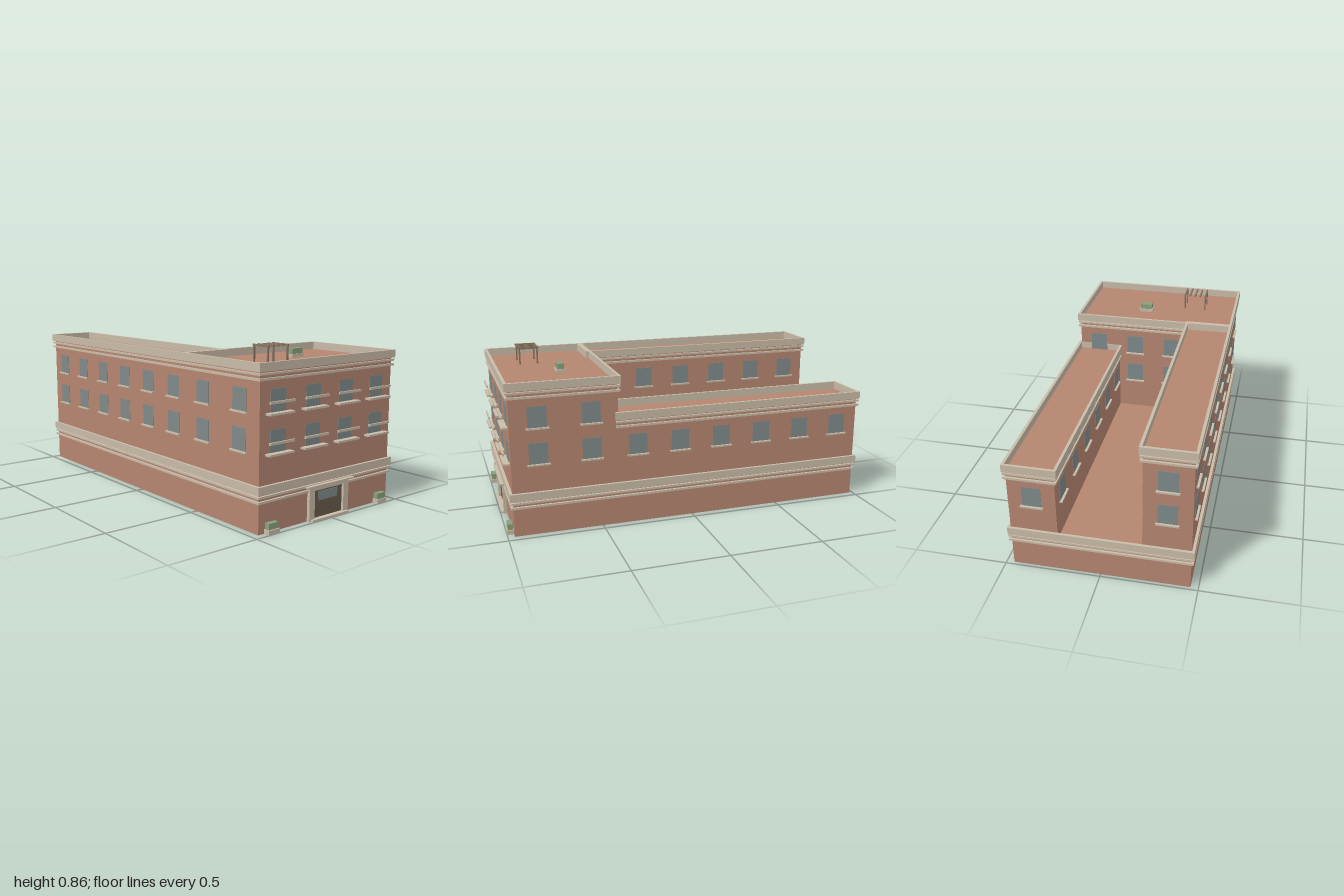
import * as THREE from 'three';

const mat = (color) => new THREE.MeshStandardMaterial({ color, roughness: 0.9, flatShading: true });

export function createModel() {
  const model = new THREE.Group();
  const brick = mat(0xb58570), trim = mat(0xc8bba8), glass = mat(0x7f8a89);
  const doorMat = mat(0x6b5a4a), green = mat(0x88a07a), timber = mat(0x8a7560);

  // box given by its min and max on each axis
  const box = (name, material, x0, x1, y0, y1, z0, z1, parent = model) => {
    const m = new THREE.Mesh(new THREE.BoxGeometry(x1 - x0, y1 - y0, z1 - z0), material);
    m.position.set((x0 + x1) / 2, (y0 + y1) / 2, (z0 + z1) / 2);
    m.name = name;
    parent.add(m);
    return m;
  };

  // frame of four bars hugging the outside of a rectangle
  const ring = (name, [x0, x1, z0, z1], y0, y1, t) => {
    const g = new THREE.Group();
    g.name = name;
    box('side', trim, x0 - t, x0, y0, y1, z0, z1, g);
    box('side', trim, x1, x1 + t, y0, y1, z0, z1, g);
    box('end', trim, x0 - t, x1 + t, y0, y1, z0 - t, z0, g);
    box('end', trim, x0 - t, x1 + t, y0, y1, z1, z1 + t, g);
    model.add(g);
  };

  // brick volume with parapet and two string courses
  const block = (name, rect, y0, roof) => {
    box(name, brick, rect[0], rect[1], y0, roof, rect[2], rect[3]);
    ring(name + 'Parapet', rect, roof, roof + 0.041, 0.015);
    ring(name + 'UpperBand', rect, roof - 0.017, roof - 0.007, 0.012);
    ring(name + 'LowerBand', rect, roof - 0.042, roof - 0.031, 0.012);
  };
  const W = 0.46, IN = 0.215, BACK = -0.983, MID = 0.41, FRONT = 0.965;
  block('base', [-W, W, BACK, FRONT], 0, 0.192);
  block('frontBlock', [-W, W, MID, FRONT], 0.192, 0.765);
  block('tallWing', [-W, -IN, BACK, MID], 0.192, 0.765);
  block('lowWing', [IN, W, BACK, MID], 0.192, 0.573);

  // window with sill; turn is the direction it faces about y
  const addWindow = (x, y, z, turn, balcony = false) => {
    const g = new THREE.Group();
    g.name = 'window';
    box('pane', glass, -0.049, 0.049, 0, 0.11, -0.004, 0.002, g);
    if (balcony) {
      box('balconySlab', trim, -0.079, 0.079, -0.008, 0.002, 0, 0.034, g);
      box('balconyRail', trim, -0.079, 0.079, 0.046, 0.058, 0.026, 0.034, g);
    } else {
      box('sill', trim, -0.058, 0.058, -0.008, 0, 0, 0.014, g);
    }
    g.position.set(x, y, z);
    g.rotation.y = turn;
    model.add(g);
  };
  const LOW = 0.38, HIGH = 0.57, R = Math.PI / 2;
  const frontBays = [0.825, 0.55];
  const wingBays = [0.305, 0.072, -0.162, -0.396, -0.63, -0.864];
  for (const y of [LOW, HIGH]) {
    for (const x of [-0.345, -0.115, 0.115, 0.345]) addWindow(x, y, FRONT, 0, true);
    for (const z of frontBays) {
      addWindow(W, y, z, R);
      addWindow(-W, y, z, -R);
    }
    for (const z of wingBays) {
      addWindow(-W, y, z, -R);
      addWindow(-IN, y, z, R);
    }
    // wall above the courtyard and the end of the tall wing
    for (const x of [-0.115, 0.115]) addWindow(x, y, MID, Math.PI);
    addWindow(-0.3375, y, BACK, Math.PI);
  }
  addWindow(0.345, HIGH, MID, Math.PI);
  addWindow(0.3375, LOW, BACK, Math.PI);
  for (const z of wingBays) {
    addWindow(W, LOW, z, R);
    addWindow(IN, LOW, z, -R);
  }

  // entrance
  box('door', doorMat, -0.103, 0.103, 0, 0.153, FRONT - 0.01, 0.97);
  box('doorGlass', glass, -0.067, 0.067, 0.095, 0.141, FRONT, 0.973);
  box('doorLintel', trim, -0.14, 0.14, 0.153, 0.174, FRONT, 0.982);
  box('doorCanopy', trim, -0.165, 0.165, 0.174, 0.182, FRONT, 0.997);
  box('doorStep', trim, -0.13, 0.13, 0, 0.01, FRONT, 0.997);
  for (const s of [-1, 1]) {
    const a = s * 0.103, b = s * 0.14;
    box('doorPost', trim, Math.min(a, b), Math.max(a, b), 0, 0.153, FRONT, 0.982);
    // planters beside the entrance
    const x = s * 0.39;
    box('planter', trim, x - 0.035, x + 0.035, 0, 0.023, FRONT, 1);
    box('hedge', green, x - 0.03, x + 0.03, 0.023, 0.054, FRONT + 0.003, 0.994);
  }

  // rooftop pergola: four posts and five beams
  for (const x of [-0.275, -0.147]) {
    for (const z of [0.718, 0.816]) box('pergolaPost', timber, x - 0.004, x + 0.004, 0.765, 0.851, z - 0.004, z + 0.004);
  }
  for (let i = 0; i < 5; i++) {
    const x = -0.275 + i * 0.032;
    box('pergolaBeam', timber, x - 0.004, x + 0.004, 0.851, 0.861, 0.71, 0.824);
  }

  // rooftop planter
  box('roofPlanter', trim, 0.045, 0.129, 0.765, 0.783, 0.612, 0.658);
  box('roofHedge', green, 0.051, 0.123, 0.783, 0.812, 0.617, 0.653);

  return model;
}
